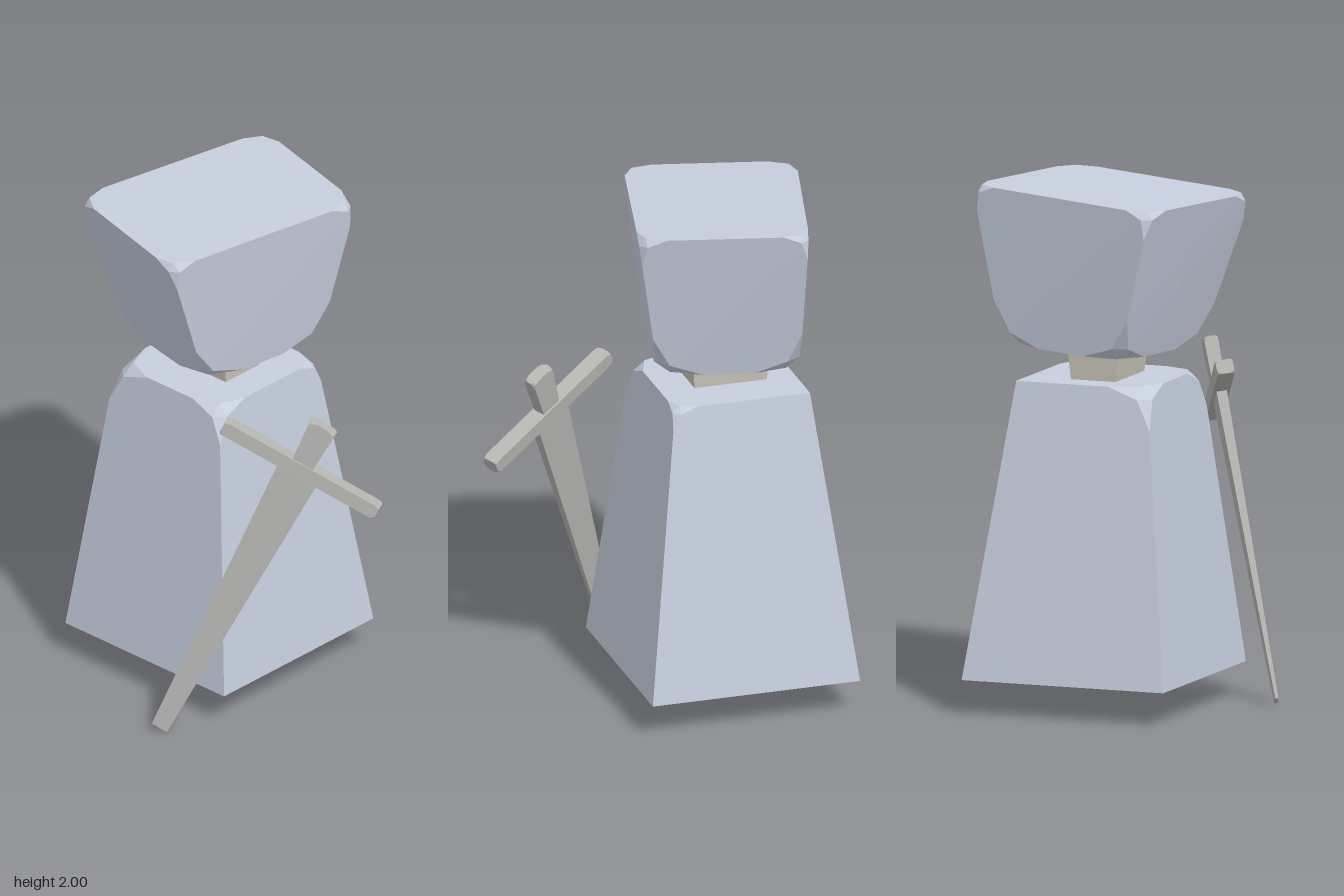
import * as THREE from 'three';
import { ConvexGeometry } from 'three/addons/geometries/ConvexGeometry.js';

const mat = (color) => new THREE.MeshStandardMaterial({ color, flatShading: true });
const stone = mat(0xc6cedd), skin = mat(0xcac5b8), steel = mat(0xb6b6b3);

// Four corners of a rectangle at height y, in the order front-left, front-right, back-right, back-left (by x)
const ring = (y, hx, hz, cx = 0, cz = 0, angle = 0) =>
  [[-1, 1], [1, 1], [1, -1], [-1, -1]].map(([sx, sz]) =>
    new THREE.Vector3(sx * hx, 0, sz * hz)
      .applyAxisAngle(new THREE.Vector3(0, 1, 0), angle)
      .add(new THREE.Vector3(cx, y, cz)));

// Six-sided block between two rings; each corner is whittled off by its own cut length
function block(name, material, bottom, top, cutBottom = [0, 0, 0, 0], cutTop = [0, 0, 0, 0]) {
  const points = [];
  const whittle = (own, other, i, cut) => {
    const p = own[i];
    if (!cut) return points.push(p);
    const dirs = [own[(i + 1) % 4], own[(i + 3) % 4], other[i]].map((q) => q.clone().sub(p).normalize());
    dirs.forEach((d, k) => {
      const e = dirs[(k + 1) % 3];
      points.push(p.clone().addScaledVector(d, cut));
      points.push(p.clone().addScaledVector(d, cut * 0.28).addScaledVector(e, cut * 0.28));
    });
  };
  for (let i = 0; i < 4; i++) {
    whittle(bottom, top, i, cutBottom[i]);
    whittle(top, bottom, i, cutTop[i]);
  }
  const mesh = new THREE.Mesh(new ConvexGeometry(points), material);
  mesh.name = name;
  return mesh;
}

function createSword() {
  const sword = new THREE.Group();
  sword.name = 'sword';
  sword.add(
    block('blade', steel, ring(0, 0.033, 0.006), ring(1.235, 0.085, 0.02)),
    block('guard', steel, ring(1.207, 0.335, 0.033), ring(1.262, 0.335, 0.033),
      [0.02, 0.02, 0.02, 0.02], [0.02, 0.02, 0.02, 0.02]),
    block('grip', steel, ring(1.23, 0.042, 0.024), ring(1.435, 0.055, 0.027),
      undefined, [0.03, 0.03, 0.03, 0.03]),
  );
  // Local y runs from tip to grip, local x along the guard
  const y = new THREE.Vector3(0.53, 1.29, 0.325).normalize();
  const x = new THREE.Vector3(0.38, -0.27, 0.47);
  x.addScaledVector(y, -x.dot(y)).normalize();
  const z = new THREE.Vector3().crossVectors(x, y);
  sword.quaternion.setFromRotationMatrix(new THREE.Matrix4().makeBasis(x, y, z));
  sword.position.set(-0.505, 0.018, 0.165);
  return sword;
}

export function createModel() {
  const model = new THREE.Group();
  model.name = 'figure';
  const turn = 0.214;

  // Tapering body, turned slightly, with worn top corners
  model.add(block('body', stone,
    ring(0.135, 0.412, 0.412, 0.028, -0.212, turn),
    ring(1.27, 0.268, 0.268, 0.01, -0.205, turn),
    undefined, [0.14, 0.09, 0, 0.16]));

  // Neck, a little wider at the top
  model.add(block('neck', skin,
    ring(1.26, 0.09, 0.143, 0.008, -0.215, turn),
    ring(1.42, 0.107, 0.155, 0.005, -0.215, turn)));

  // Uneven head with whittled corners
  const v = (x, y, z) => new THREE.Vector3(x, y, z);
  model.add(block('head', stone,
    [v(-0.225, 1.375, 0.065), v(0.3, 1.395, 0.06), v(0.315, 1.4, -0.475), v(-0.23, 1.375, -0.485)],
    [v(-0.425, 1.963, 0.125), v(0.412, 1.998, 0.147), v(0.435, 2.0, -0.5), v(-0.4, 1.966, -0.532)],
    [0.17, 0.17, 0.17, 0.17], [0.11, 0.11, 0.1, 0.11]));

  model.add(createSword());
  return model;
}
